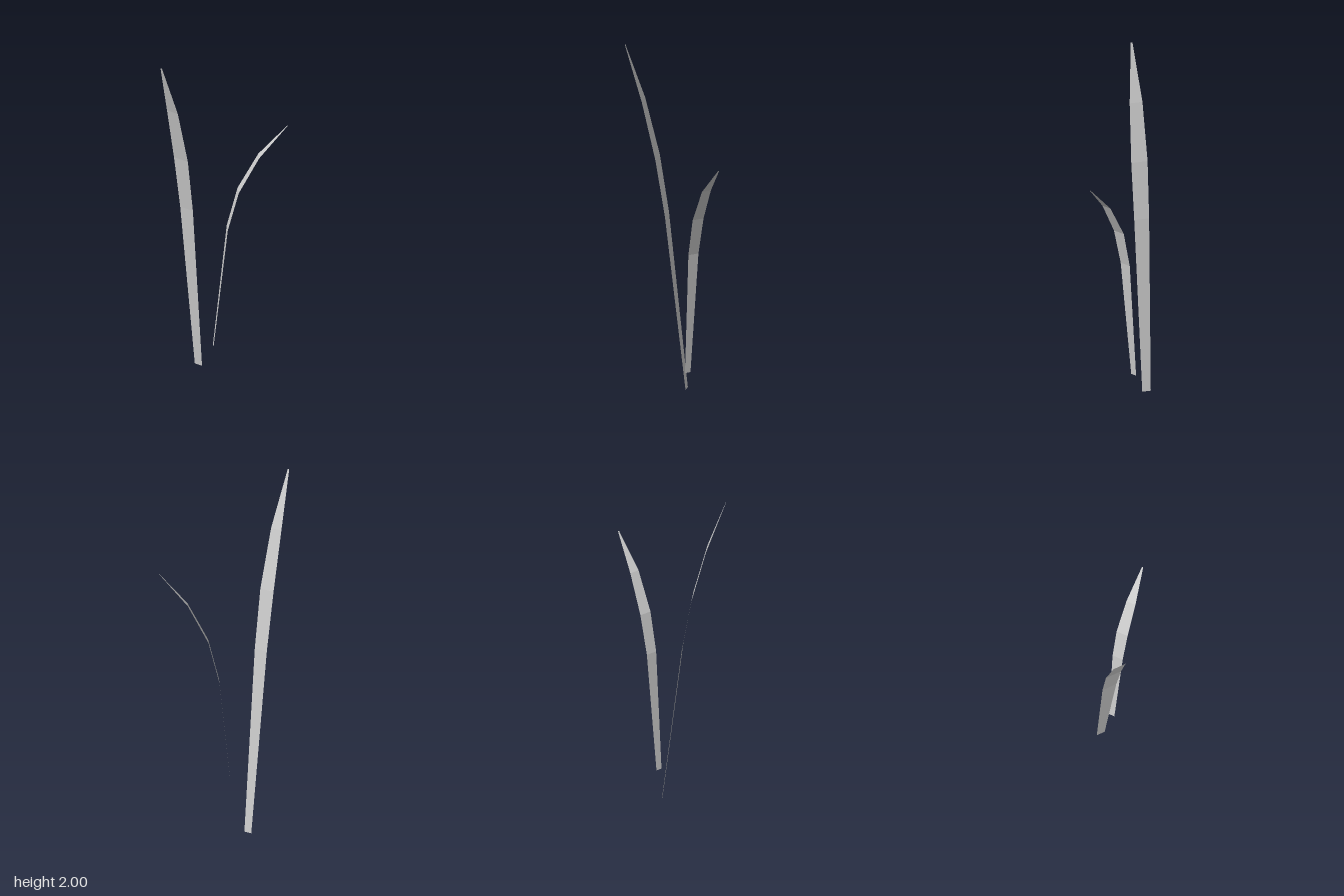
import * as THREE from 'three';

const material = new THREE.MeshStandardMaterial({
  color: 0xcccccc, flatShading: true, side: THREE.DoubleSide,
});

// Thin strip: rows are [x, y, z, halfWidth] along the midrib, [dx, dz] is the direction across
function blade(name, [dx, dz], rows) {
  const positions = [];
  const index = [];
  rows.forEach(([x, y, z, w], i) => {
    positions.push(x - dx * w, y, z - dz * w, x + dx * w, y, z + dz * w);
    if (i > 0) {
      const a = 2 * (i - 1);
      index.push(a, a + 1, a + 3, a, a + 3, a + 2);
    }
  });
  const geometry = new THREE.BufferGeometry();
  geometry.setAttribute('position', new THREE.Float32BufferAttribute(positions, 3));
  geometry.setIndex(index);
  geometry.computeVertexNormals();
  const mesh = new THREE.Mesh(geometry, material);
  mesh.name = name;
  return mesh;
}

export function createModel() {
  const group = new THREE.Group();
  group.name = 'grassBlades';

  // Tall blade, bending to the right
  group.add(blade('tallBlade', [0.28, 0.96], [
    [-0.024, 0, -0.14, 0.024],
    [-0.132, 1.02, -0.11, 0.042],
    [-0.183, 1.35, -0.096, 0.046],
    [-0.26, 1.68, -0.075, 0.036],
    [-0.362, 2, -0.047, 0.005],
  ]));

  // Short blade, bending to the left and forward
  group.add(blade('shortBlade', [-0.55, 0.83], [
    [0.0245, 0.13, -0.0715, 0.0165],
    [0.0875, 0.86, -0.0275, 0.0305],
    [0.1375, 1.09, 0.0055, 0.033],
    [0.23, 1.3, 0.07, 0.027],
    [0.3615, 1.48, 0.157, 0.0035],
  ]));

  return group;
}
